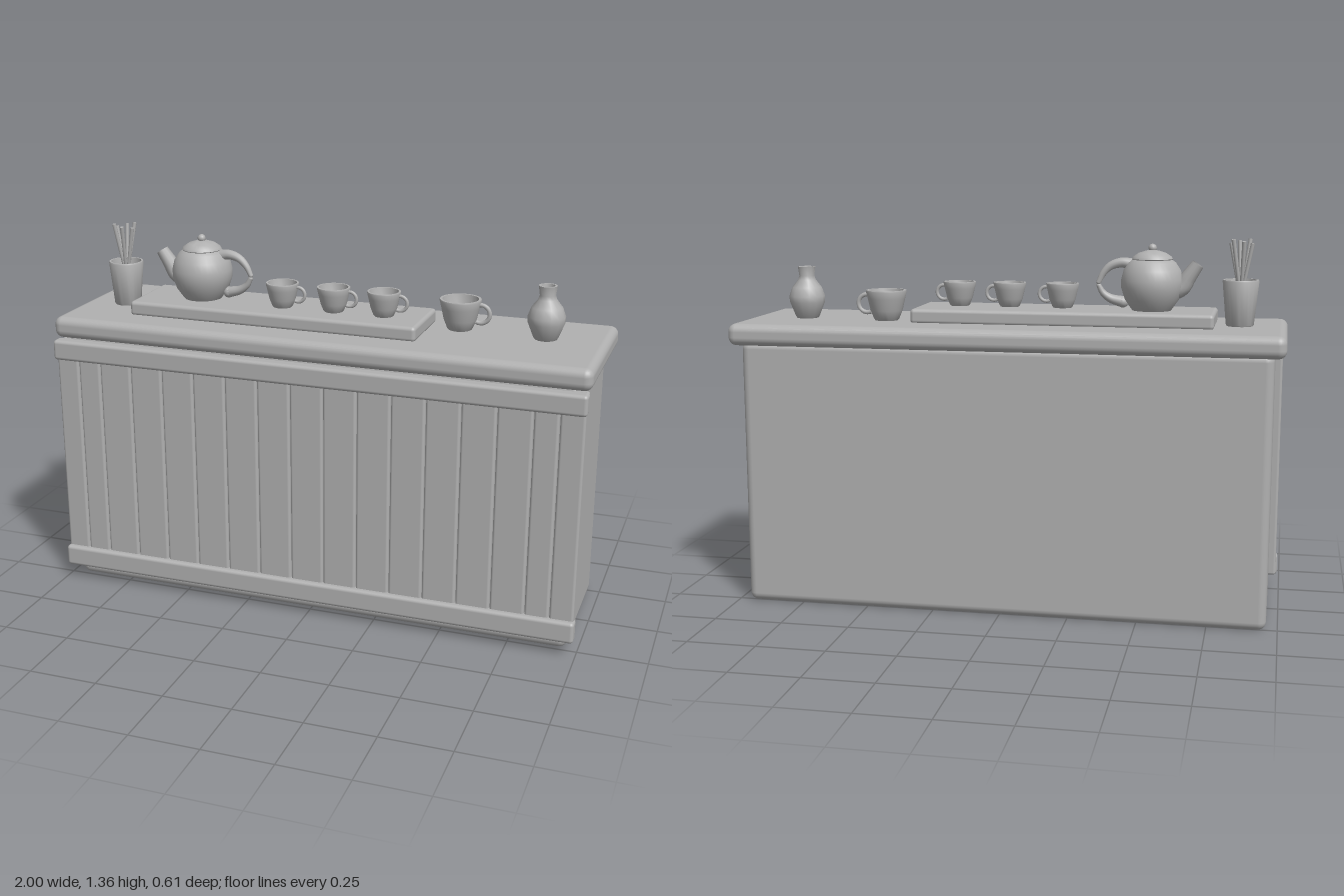
import * as THREE from 'three';
import { toCreasedNormals } from 'three/addons/utils/BufferGeometryUtils.js';
import { RoundedBoxGeometry } from 'three/addons/geometries/RoundedBoxGeometry.js';

export function createModel() {
  const model = new THREE.Group();
  model.name = 'teaCounter';
  const clay = new THREE.MeshStandardMaterial({ color: 0xb0b0b0, side: THREE.DoubleSide });
  clay.name = 'plainGrey';

  const add = (name, geometry, parent = model) => {
    const mesh = new THREE.Mesh(geometry, clay);
    mesh.name = name;
    parent.add(mesh);
    return mesh;
  };
  const group = (name, x, y, z) => {
    const g = new THREE.Group();
    g.name = name;
    g.position.set(x, y, z);
    model.add(g);
    return g;
  };
  // Rounded box given by its limits
  const box = (name, x0, x1, y0, y1, z0, z1, radius) => {
    const mesh = add(name, new RoundedBoxGeometry(x1 - x0, y1 - y0, z1 - z0, 3, radius));
    mesh.position.set((x0 + x1) / 2, (y0 + y1) / 2, (z0 + z1) / 2);
  };
  // Turned shape from [radius, height] pairs
  const turned = (points, sides = 28) => toCreasedNormals(
    new THREE.LatheGeometry(points.map(([r, y]) => new THREE.Vector2(r, y)), sides), 0.7);
  // Tube along points whose radius runs from r0 to r1
  const taperedTube = (points, r0, r1, segments = 14, sides = 12) => {
    const curve = new THREE.CatmullRomCurve3(points.map(([x, y]) => new THREE.Vector3(x, y, 0)));
    const geometry = new THREE.TubeGeometry(curve, segments, 1, sides);
    const pos = geometry.attributes.position;
    const v = new THREE.Vector3();
    for (let i = 0; i < pos.count; i++) {
      const t = Math.floor(i / (sides + 1)) / segments;
      const c = curve.getPointAt(t);
      v.fromBufferAttribute(pos, i).sub(c).multiplyScalar(r0 + (r1 - r0) * t).add(c);
      pos.setXYZ(i, v.x, v.y, v.z);
    }
    return geometry;
  };
  const ball = (name, x, y, r, parent) =>
    add(name, new THREE.SphereGeometry(r, 14, 10), parent).position.set(x, y, 0);

  // Counter carcass, worktop and front rails
  box('cabinetBody', -0.96, 0.96, 0, 0.985, -0.273, 0.25, 0.03);
  box('worktop', -1, 1, 0.97, 1.05, -0.306, 0.283, 0.03);
  box('topRail', -0.992, 0.992, 0.892, 0.968, 0.255, 0.306, 0.013);
  box('bottomRail', -0.992, 0.992, 0.055, 0.135, 0.255, 0.306, 0.013);

  // Front boards, narrower at both ends
  const widths = [0.088, 0.088, ...Array(13).fill(0.1249), 0.088, 0.088];
  let left = -0.988;
  for (const w of widths) {
    box('frontBoard', left + 0.001, left + w - 0.001, 0.062, 0.962, 0.222, 0.286, 0.01);
    left += w;
  }

  // Serving tray
  box('tray', -0.745, 0.357, 1.045, 1.1, -0.135, 0.152, 0.014);

  // Brush pot with splayed sticks
  const pot = group('brushPot', -0.83, 1.05, 0);
  add('pot', turned([[0, 0], [0.047, 0], [0.05, 0.005], [0.065, 0.16], [0.063, 0.165],
    [0.057, 0.165], [0.053, 0.13], [0.045, 0.02], [0, 0.02]]), pot);
  for (let i = 0; i < 6; i++) {
    const a = i / 6 * Math.PI * 2 + 0.3;
    const base = new THREE.Vector3(-Math.cos(a) * 0.015, 0.02, -Math.sin(a) * 0.015);
    const tip = new THREE.Vector3(Math.cos(a) * 0.04, 0.295 + (i % 3) * 0.007, Math.sin(a) * 0.04);
    const dir = tip.clone().sub(base);
    const stick = add('stick', new THREE.CylinderGeometry(0.0075, 0.005, dir.length(), 8), pot);
    stick.position.copy(base).add(tip).multiplyScalar(0.5);
    stick.quaternion.setFromUnitVectors(new THREE.Vector3(0, 1, 0), dir.normalize());
  }

  // Teapot
  const teapot = group('teapot', -0.513, 1.1, 0);
  add('teapotBody', turned([[0, 0], [0.07, 0], [0.076, 0.008], [0.098, 0.04], [0.111, 0.08],
    [0.112, 0.11], [0.103, 0.145], [0.085, 0.172], [0.066, 0.186], [0, 0.19]], 32), teapot);
  add('teapotLid', turned([[0, 0.178], [0.068, 0.178], [0.073, 0.185], [0.069, 0.193],
    [0.05, 0.206], [0.025, 0.214], [0.01, 0.217], [0, 0.217]], 32), teapot);
  ball('lidKnob', 0, 0.224, 0.015, teapot);
  add('spout', taperedTube([[-0.07, 0.07], [-0.105, 0.083], [-0.13, 0.12], [-0.163, 0.168]],
    0.036, 0.023), teapot);
  // Handle in two tapering halves
  add('upperHandle', taperedTube([[0.075, 0.165], [0.11, 0.17], [0.15, 0.158], [0.178, 0.13],
    [0.194, 0.098]], 0.021, 0.009), teapot);
  ball('upperHandleEnd', 0.194, 0.098, 0.009, teapot);
  add('lowerHandle', taperedTube([[0.193, 0.086], [0.178, 0.06], [0.15, 0.04], [0.105, 0.028]],
    0.009, 0.021), teapot);
  ball('lowerHandleStart', 0.193, 0.086, 0.009, teapot);
  ball('lowerHandleEnd', 0.105, 0.028, 0.021, teapot);

  // Hollow cups with ring handles
  const cup = (x, y, z, s) => {
    const g = group('cup', x, y, z);
    g.scale.setScalar(s);
    add('cupBowl', turned([[0, 0], [0.034, 0], [0.038, 0.005], [0.048, 0.03], [0.056, 0.065],
      [0.061, 0.086], [0.06, 0.09], [0.053, 0.09], [0.049, 0.065], [0.04, 0.03],
      [0.025, 0.016], [0, 0.012]]), g);
    const ring = add('cupHandle', new THREE.TorusGeometry(0.027, 0.0065, 10, 18, Math.PI * 1.3), g);
    ring.position.set(0.06, 0.049, 0);
    ring.rotation.z = -Math.PI * 0.65;
  };
  for (const x of [-0.182, 0.016, 0.206]) cup(x, 1.1, 0.03, 1);
  cup(0.464, 1.05, -0.063, 1.24);

  // Vase
  const vase = group('vase', 0.78, 1.05, -0.038);
  add('vaseBody', turned([[0, 0], [0.04, 0], [0.044, 0.005], [0.066, 0.06], [0.067, 0.082],
    [0.055, 0.115], [0.033, 0.143], [0.028, 0.158], [0.033, 0.192], [0.025, 0.192],
    [0.02, 0.158], [0.02, 0.12], [0, 0.11]], 14), vase);

  return model;
}
